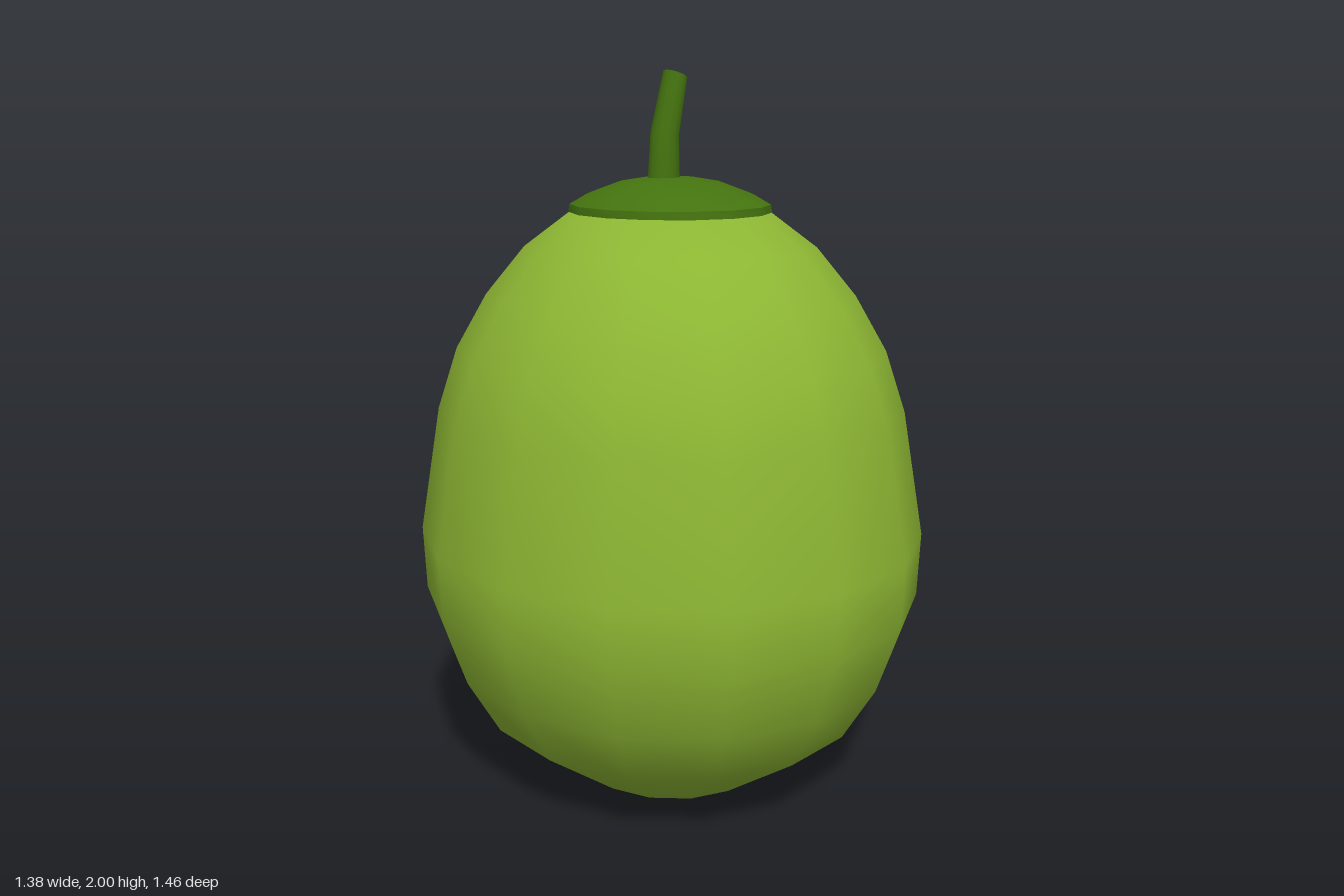
import * as THREE from 'three';
import { toCreasedNormals } from 'three/addons/utils/BufferGeometryUtils.js';

const SIDES = 15;

// Slightly oval turned shape with a corner on +x
function turned(points) {
  const profile = points.map(([r, y]) => new THREE.Vector2(r, y));
  const geo = new THREE.LatheGeometry(profile, SIDES, Math.PI / 2);
  geo.scale(0.953, 1, 1);
  geo.translate(-0.008, 0, 0);
  return geo;
}

export function createModel() {
  const group = new THREE.Group();
  const material = (name, color) => {
    const m = new THREE.MeshStandardMaterial({ color });
    m.name = name;
    return m;
  };
  const skin = material('green skin', 0x8db633);
  const dark = material('dark green', 0x44730f);
  const brown = material('brown', 0x7a4e28);

  const add = (name, geo, mat) => {
    const mesh = new THREE.Mesh(geo, mat);
    mesh.name = name;
    group.add(mesh);
  };

  // Fruit body, with a shallow dimple underneath
  add('fruitBody', turned([
    [0, 0.1], [0.14, 0.085], [0.286, 0], [0.565, 0.2], [0.66, 0.36], [0.725, 0.55],
    [0.732, 0.73], [0.67, 1.08], [0.612, 1.25], [0.523, 1.4], [0.412, 1.53],
    [0.28, 1.625], [0, 1.66],
  ]), skin);

  // Domed cap with a thin rim
  add('cap', toCreasedNormals(turned([
    [0.2, 1.62], [0.286, 1.622], [0.283, 1.643], [0.235, 1.67], [0.145, 1.702],
    [0.07, 1.714], [0, 1.717],
  ]), 0.7), dark);

  // Bent stem: each ring is moved to its own centre and tilt
  const rings = [
    { x: -0.03, y: 1.69, tilt: 0 },
    { x: -0.026, y: 1.83, tilt: 0.12 },
    { x: 0.011, y: 1.985, tilt: 0.36 },
  ];
  const stem = new THREE.CylinderGeometry(0.034, 0.045, 2, 12, 2);
  const pos = stem.attributes.position;
  for (let i = 0; i < pos.count; i++) {
    const ring = rings[Math.round(pos.getY(i) + 1)];
    const x = pos.getX(i);
    pos.setXY(i, ring.x + x * Math.cos(ring.tilt), ring.y - x * Math.sin(ring.tilt));
  }
  add('stem', toCreasedNormals(stem, 0.8), dark);

  // Blossom scar in the dimple
  const scar = new THREE.CylinderGeometry(0.143, 0.143, 0.08, SIDES);
  scar.translate(-0.008, 0.07, 0);
  add('blossomScar', scar, brown);

  return group;
}
